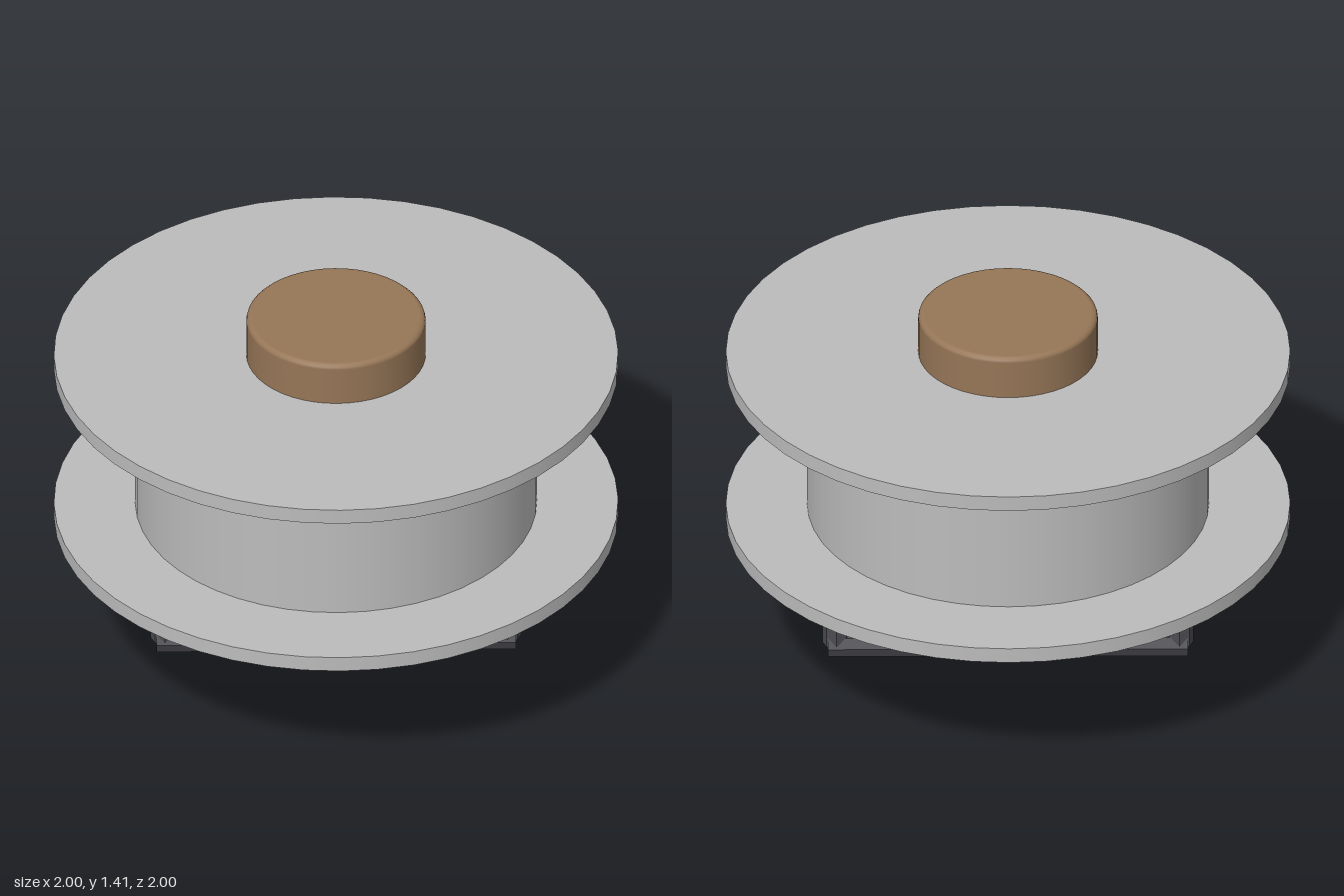
import * as THREE from 'three';

export function createModel() {
  const model = new THREE.Group();
  const metal = new THREE.MeshStandardMaterial({ color: 0xbcbcbc });
  metal.name = 'greyMetal';
  const wood = new THREE.MeshStandardMaterial({ color: 0x967657 });
  wood.name = 'brownWood';
  const iron = new THREE.MeshStandardMaterial({ color: 0x4c4c51, flatShading: true });
  iron.name = 'darkIron';

  function add(name, geometry, material, x, y) {
    const mesh = new THREE.Mesh(geometry, material);
    mesh.name = name;
    mesh.position.set(x, y, 0);
    model.add(mesh);
    return mesh;
  }
  // Upright cylinder between two heights
  function disc(name, radius, y0, y1) {
    add(name, new THREE.CylinderGeometry(radius, radius, y1 - y0, 48), metal, 0, (y0 + y1) / 2);
  }

  // Spool: two flanges around a drum
  disc('lowerFlange', 1, 0.575, 0.632);
  disc('drum', 0.712, 0.632, 1.203);
  disc('upperFlange', 1, 1.203, 1.26);

  // Wooden axle with rounded rims showing above and below; doubled points keep the caps flat
  const r = 0.318, half = 0.5, b = 0.018;
  const rim = [];
  for (let i = 0; i <= 3; i++) {
    const a = (i / 3) * Math.PI / 2;
    rim.push(new THREE.Vector2(r - b + b * Math.cos(a), half - b + b * Math.sin(a)));
  }
  const profile = [
    new THREE.Vector2(0, -half), new THREE.Vector2(r - b - 0.002, -half),
    ...rim.map(p => new THREE.Vector2(p.x, -p.y)).reverse(),
    ...rim,
    new THREE.Vector2(r - b - 0.002, half), new THREE.Vector2(0, half),
  ];
  add('axle', new THREE.LatheGeometry(profile, 48), wood, 0, 0.92);

  // Bail handle: eight-sided bars, two uprights and a crossbar
  const barY = 0.058, barR = 0.053;
  for (const side of [-1, 1]) {
    add(side > 0 ? 'leftHandleUpright' : 'rightHandleUpright',
      new THREE.CylinderGeometry(0.05, 0.05, 0.54, 8), iron, side * 0.607, barY + 0.27);
  }
  const bar = add('handleCrossbar', new THREE.CylinderGeometry(barR, barR, 1.275, 8), iron, 0, barY);
  bar.rotation.z = Math.PI / 2;

  return model;
}
